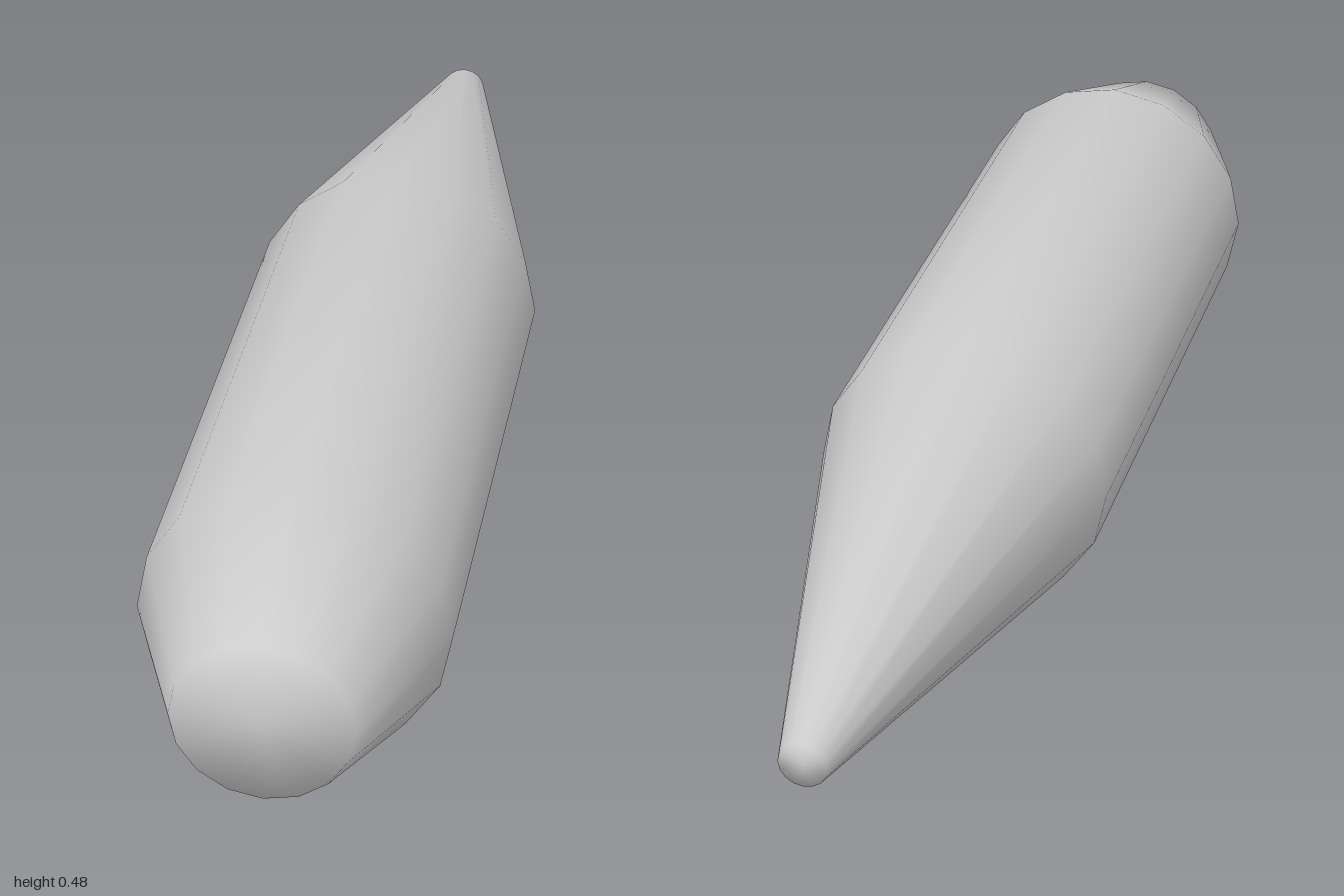
import * as THREE from 'three';

export function createModel() {
  const model = new THREE.Group();
  const grey = new THREE.MeshStandardMaterial({ color: 0xcccccc });
  grey.name = 'light grey';

  // Radius and position along the axis, from the narrow tail to the blunt nose
  const profile = [
    [0, -1], [0.038, -1], [0.24, -0.2], [0.24, 0.75], [0.137, 1], [0, 1],
  ].map(([r, z]) => new THREE.Vector2(r, z));

  // Sixteen-sided smooth body, turned to lie along z
  const geometry = new THREE.LatheGeometry(profile, 16);
  geometry.rotateX(Math.PI / 2);
  geometry.translate(0, 0.24, 0);

  const body = new THREE.Mesh(geometry, grey);
  body.name = 'taperedBody';
  model.add(body);
  return model;
}
